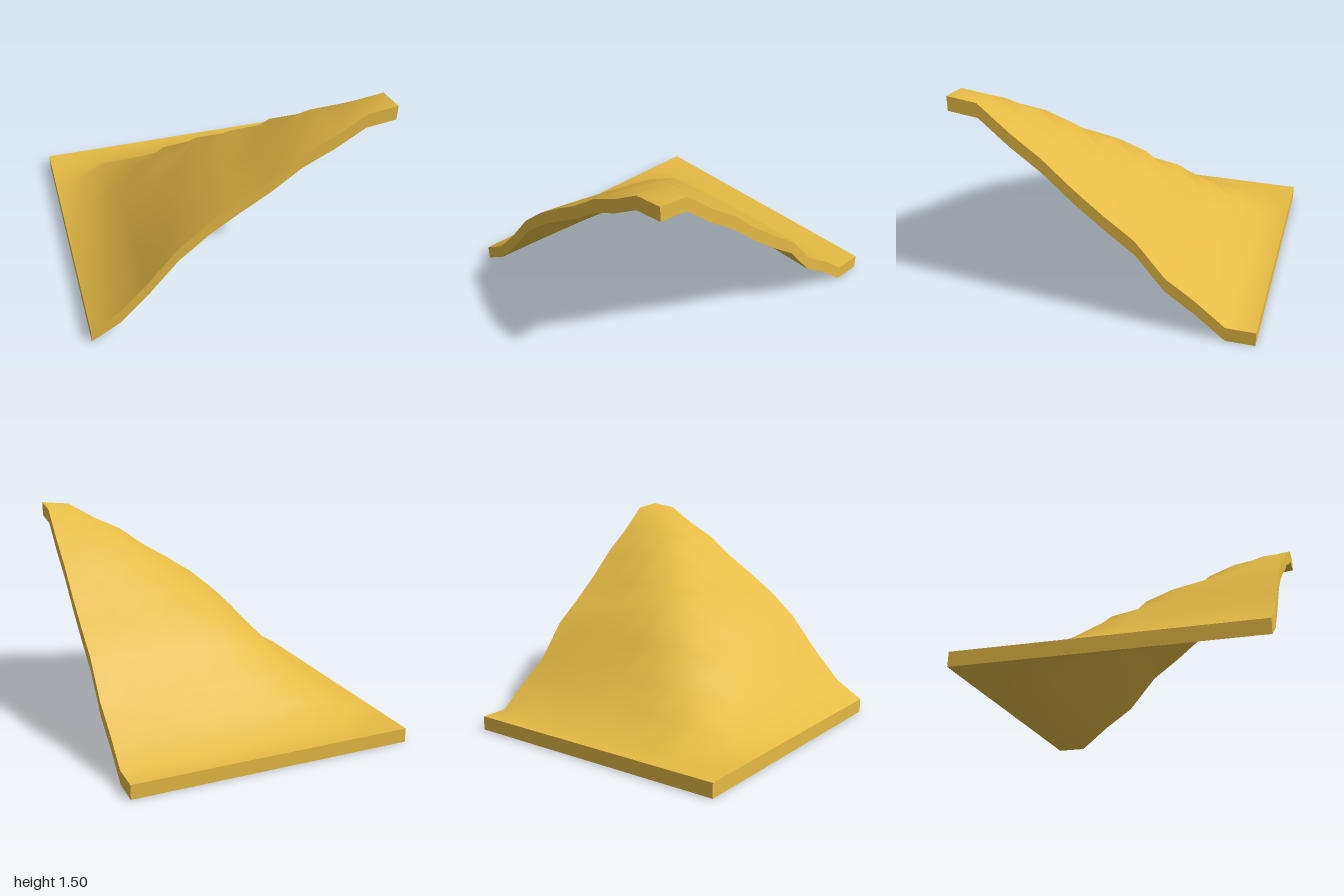
import * as THREE from 'three';

const THICK = 0.1, N = 10;
// underside heights along the front edge (by x) and the right-hand edge (by z), every 0.2
const FRONT = [0, 0.12, 0.33, 0.57, 0.74, 0.875, 1.0, 1.15, 1.25, 1.375, 1.4];
const SIDE = [0, 0, 0.165, 0.305, 0.55, 0.7, 0.865, 1.05, 1.2, 1.375, 1.4];
// how far each slope sinks between its edge and the hip
const FRONT_SAG = [0, 0.09, 0.16, 0.21, 0.21, 0.125, 0.105, 0.05, 0, 0, 0];
const SIDE_SAG = [0, 0, 0.03, 0.025, 0.04, 0.02, 0.02, 0.02, 0, 0, 0];
const BULGE = [0, 0, 0.035, 0.015, 0, 0, 0, 0, 0, 0, 0];

// underside height: the lower of two slopes, softened where they meet at the hip
function height(x, z) {
  const i = Math.round((x + 1) * 5), j = Math.round((z + 1) * 5);
  const tx = Math.min(1, (N - j) / Math.max(1, N - 1 - i));
  const tz = Math.min(1, (N - i) / Math.max(1, N - 1 - j));
  const a = FRONT[i] - FRONT_SAG[i] * Math.pow(tx, 1.3);
  const b = SIDE[j] - SIDE_SAG[j] * tz + BULGE[j] * Math.sin(Math.PI * tz);
  const k = i === N || j === N ? 0 : 0.1;
  const h = k ? Math.max(k - Math.abs(a - b), 0) / k : 0;
  return Math.max(0, Math.min(a, b) - h * h * k * 0.25);
}

// lift every vertex by the roof height below it
function drape(geometry, offset) {
  const p = geometry.attributes.position;
  for (let v = 0; v < p.count; v++) {
    p.setY(v, p.getY(v) + height(p.getX(v), p.getZ(v)) + offset);
  }
  geometry.computeVertexNormals();
  return geometry;
}

function sheet(offset, flip) {
  const g = new THREE.PlaneGeometry(2, 2, N, N).rotateX(-Math.PI / 2);
  if (flip) g.setIndex(Array.from(g.index.array).reverse());
  return drape(g, offset);
}

export function createModel() {
  const roof = new THREE.Group();
  roof.name = 'roofCorner';
  const material = new THREE.MeshStandardMaterial({ color: 0xe6bb45 });
  const add = (name, geometry) => {
    const mesh = new THREE.Mesh(geometry, material);
    mesh.name = name;
    roof.add(mesh);
  };

  // upper and lower skins
  add('roofTop', sheet(THICK, false));
  add('roofUnderside', sheet(0, true));

  // rim strips closing the four edges
  ['frontRim', 'leftRim', 'backRim', 'rightRim'].forEach((name, s) => {
    const g = new THREE.PlaneGeometry(2, THICK, N, 1).translate(0, 0, 1).rotateY(s * Math.PI / 2);
    add(name, drape(g, THICK / 2));
  });
  return roof;
}
